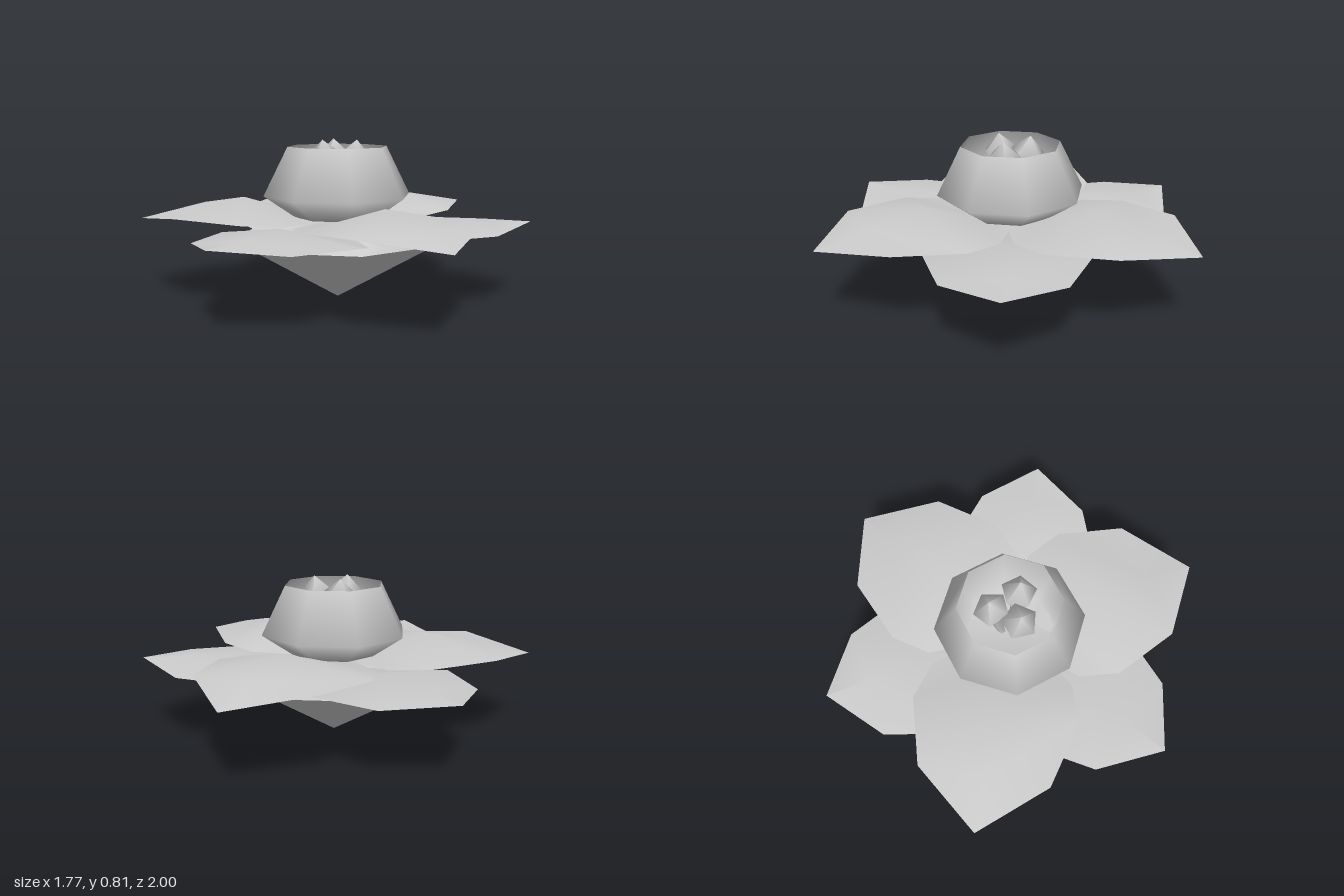
import * as THREE from 'three';

const grey = new THREE.MeshStandardMaterial({ color: 0xcccccc, side: THREE.DoubleSide });

function addMesh(parent, name, geometry) {
  const mesh = new THREE.Mesh(geometry, grey);
  mesh.name = name;
  parent.add(mesh);
  return mesh;
}

const lathe = (profile, sides) =>
  new THREE.LatheGeometry(profile.map(([r, y]) => new THREE.Vector2(r, y)), sides);

// Petal along +z from rows of [ridge z, ridge y, edge z, edge half width, edge y]
function petalGeometry(rows) {
  const positions = [], index = [];
  rows.forEach(([zm, ym, ze, w, ye], i) => {
    positions.push(-w, ye, ze, 0, ym, zm, w, ye, ze);
    if (i === 0) return;
    for (let s = 0; s < 2; s++) {
      const a = (i - 1) * 3 + s, b = a + 3;
      index.push(a, b, a + 1, a + 1, b, b + 1);
    }
  });
  const geometry = new THREE.BufferGeometry();
  geometry.setAttribute('position', new THREE.Float32BufferAttribute(positions, 3));
  geometry.setIndex(index);
  geometry.computeVertexNormals();
  return geometry;
}

function petalRing(name, rows, startDegrees) {
  const ring = new THREE.Group();
  ring.name = name;
  const geometry = petalGeometry(rows);
  for (let i = 0; i < 3; i++) {
    addMesh(ring, 'petal', geometry).rotation.y = THREE.MathUtils.degToRad(startDegrees + i * 120);
  }
  return ring;
}

export function createModel() {
  const flower = new THREE.Group();
  flower.name = 'flower';

  // Everything radiates from an axis slightly in front of the centre
  const bloom = new THREE.Group();
  bloom.name = 'bloom';
  bloom.position.z = 0.02;
  flower.add(bloom);

  // Pointed cone underneath
  addMesh(bloom, 'baseCone', lathe([[0, 0], [0.54, 0.315]], 8));

  // Two staggered rings of three petals
  bloom.add(petalRing('lowerPetals', [
    [0.0, 0.33, 0.0, 0.06, 0.33],
    [0.2, 0.35, 0.24, 0.33, 0.325],
    [0.48, 0.42, 0.43, 0.40, 0.36],
    [0.76, 0.405, 0.77, 0.28, 0.37],
    [0.975, 0.40, 0.975, 0, 0.40],
  ], 0));
  bloom.add(petalRing('upperPetals', [
    [0.0, 0.40, 0.0, 0.06, 0.40],
    [0.2, 0.425, 0.24, 0.355, 0.415],
    [0.48, 0.515, 0.43, 0.413, 0.43],
    [0.76, 0.46, 0.76, 0.32, 0.445],
    [1.02, 0.40, 1.02, 0, 0.40],
  ], 60));

  // Eight-sided cup, narrowing to its open rim
  addMesh(bloom, 'cup', lathe([[0, 0.41], [0.22, 0.42], [0.378, 0.53], [0.255, 0.775]], 8));

  // Three faceted stamens leaning outward inside the cup
  const stamens = new THREE.Group();
  stamens.name = 'stamens';
  bloom.add(stamens);
  const stamenGeometry = lathe([[0.02, 0], [0.035, 0.2], [0.09, 0.31], [0, 0.39]], 5);
  [[-0.07, -0.07, 0.3], [0.1, -0.02, 0.9], [-0.03, 0.09, 0]].forEach(([x, z, spin]) => {
    const pivot = new THREE.Group();
    pivot.name = 'stamen';
    pivot.position.set(x * 0.4, 0.425, z * 0.4);
    pivot.rotation.set(z * 1.6, 0, -x * 1.6);
    addMesh(pivot, 'stamenHead', stamenGeometry).rotation.y = spin;
    stamens.add(pivot);
  });

  return flower;
}
